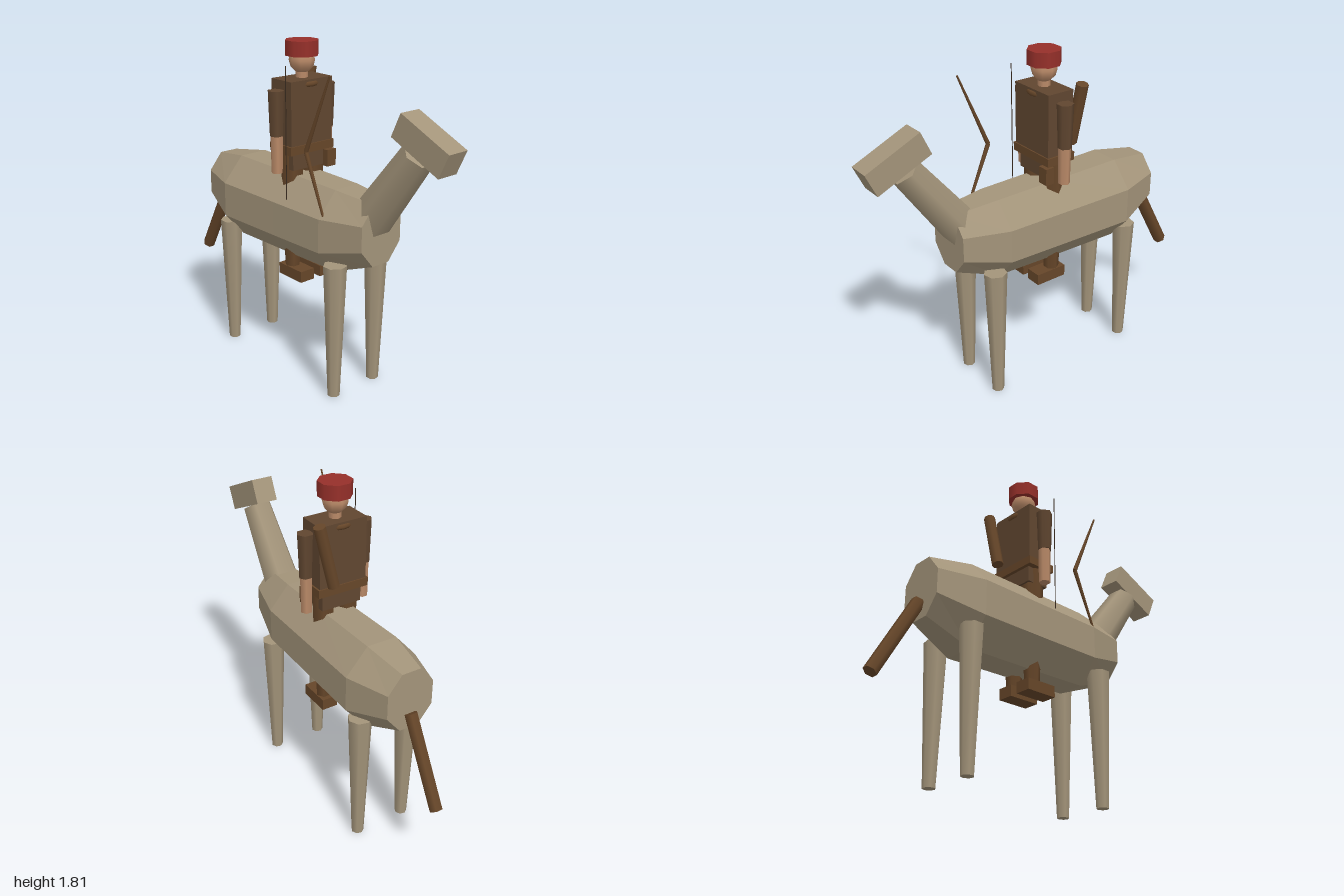
import * as THREE from 'three';

const mat = (name, color, flatShading = false) => {
  const m = new THREE.MeshStandardMaterial({ color, flatShading });
  m.name = name;
  return m;
};

export function createModel() {
  const root = new THREE.Group();
  const hide = mat('tan hide', 0xa3947a);
  const cloth = mat('brown cloth', 0x604630);
  const leather = mat('brown leather', 0x664629);
  const skin = mat('skin', 0xba8a68);
  const red = mat('red felt', 0x96302a);
  const cord = mat('dark cord', 0x3a2c20);
  const V = (x, y, z) => new THREE.Vector3(x, y, z);

  const add = (name, geo, material, parent = root) => {
    const m = new THREE.Mesh(geo, material);
    m.name = name;
    parent.add(m);
    return m;
  };
  const box = (name, size, pos, material, parent) => {
    const m = add(name, new THREE.BoxGeometry(...size), material, parent);
    m.position.set(...pos);
    return m;
  };
  // Tapered rod from a (radius ra) to b (radius rb); corner lies on the x axis
  const rod = (name, a, b, ra, rb, sides, material, parent) => {
    const g = new THREE.CylinderGeometry(rb, ra, a.distanceTo(b), sides, 1, false, Math.PI / 2);
    const m = add(name, g, material, parent);
    m.position.copy(a).add(b).multiplyScalar(0.5);
    m.quaternion.setFromUnitVectors(V(0, 1, 0), b.clone().sub(a).normalize());
    return m;
  };

  // Horse body: octagonal rings [z, centre y, half width, half height]
  const rings = [
    [-0.72, 0.921, 0.132, 0.161], [-0.476, 0.887, 0.206, 0.233], [-0.05, 0.888, 0.198, 0.227],
    [0.3, 0.89, 0.192, 0.22], [0.55, 0.93, 0.133, 0.162],
  ];
  const k = 0.41;
  const octagon = [[1, -k], [1, k], [k, 1], [-k, 1], [-1, k], [-1, -k], [-k, -1], [k, -1]];
  const pos = [], idx = [];
  for (const [z, cy, w, h] of rings) for (const [x, y] of octagon) pos.push(x * w, cy + y * h, z);
  for (let r = 0; r < rings.length - 1; r++) {
    for (let i = 0; i < 8; i++) {
      const a = r * 8 + i, b = r * 8 + (i + 1) % 8;
      idx.push(a, b, b + 8, a, b + 8, a + 8);
    }
  }
  const last = (rings.length - 1) * 8;
  for (let i = 1; i < 7; i++) {
    idx.push(0, i + 1, i);
    idx.push(last, last + i, last + i + 1);
  }
  const body = new THREE.BufferGeometry();
  body.setAttribute('position', new THREE.Float32BufferAttribute(pos, 3));
  body.setIndex(idx);
  const bodyFlat = body.toNonIndexed();
  bodyFlat.computeVertexNormals();
  add('horseBody', bodyFlat, hide);

  // Horse neck, head, legs and tail
  rod('horseNeck', V(0, 0.97, 0.465), V(0, 1.385, 0.775), 0.109, 0.084, 6, hide);
  box('horseHead', [0.122, 0.134, 0.323], [0, 1.446, 0.826], hide).rotation.x = 0.426;
  for (const s of [-1, 1]) {
    for (const [name, z] of [['frontLeg', 0.372], ['hindLeg', -0.51]]) {
      rod(name, V(s * 0.143, 0, z), V(s * 0.143, 0.745, z), 0.033, 0.062, 7, hide);
    }
  }
  rod('tail', V(0, 0.42, -0.967), V(0, 0.85, -0.73), 0.036, 0.036, 6, leather);

  // Rider, seated at the middle of the back
  const rider = new THREE.Group();
  rider.name = 'rider';
  rider.position.z = -0.05;
  root.add(rider);
  box('torso', [0.273, 0.36, 0.156], [0, 1.437, 0], cloth, rider);
  box('belt', [0.293, 0.045, 0.17], [0, 1.26, 0], leather, rider);
  box('hips', [0.23, 0.1, 0.13], [0, 1.2, 0], cloth, rider);
  box('pouch', [0.06, 0.09, 0.05], [0.12, 1.186, 0.075], leather, rider);
  const collar = add('collar', new THREE.TorusGeometry(0.076, 0.015, 6, 16), leather, rider);
  collar.rotation.x = Math.PI / 2;
  collar.position.y = 1.593;

  rod('neck', V(0, 1.58, 0), V(0, 1.67, 0), 0.032, 0.032, 8, skin, rider);
  const head = add('head', new THREE.SphereGeometry(0.068, 8, 6), skin, rider);
  head.position.y = 1.706;
  const cap = add('cap', new THREE.CylinderGeometry(0.089, 0.089, 0.078, 8), red, rider);
  cap.position.y = 1.769;
  cap.rotation.y = Math.PI / 8;

  for (const s of [-1, 1]) {
    rod('sleeve', V(s * 0.172, 1.335, 0), V(s * 0.172, 1.57, 0), 0.036, 0.044, 6, cloth, rider);
    rod('forearm', V(s * 0.17, 1.138, 0), V(s * 0.17, 1.345, 0), 0.031, 0.034, 6, skin, rider);
    rod('riderThigh', V(s * 0.07, 0.9, 0), V(s * 0.07, 1.24, 0), 0.055, 0.064, 6, leather, rider);
    rod('riderShin', V(s * 0.07, 0.58, 0), V(s * 0.07, 0.9, 0), 0.04, 0.055, 6, leather, rider);
    box('boot', [0.09, 0.062, 0.183], [s * 0.067, 0.565, 0.03], leather, rider);
  }

  // Quiver slung across the back
  rod('quiver', V(0.08, 1.307, -0.116), V(0.161, 1.643, -0.116), 0.032, 0.032, 8, leather, rider);

  // Bow on the right side, with its string
  const bow = new THREE.Group();
  bow.name = 'bow';
  bow.position.x = -0.171;
  root.add(bow);
  for (const s of [-1, 1]) {
    rod('bowLimb', V(0, 1.3, 0.182), V(0, 1.3 + s * 0.403, 0.353), 0.012, 0.005, 6, leather, bow);
  }
  rod('bowString', V(0, 0.9, 0.027), V(0, 1.703, 0.027), 0.003, 0.003, 4, cord, bow);

  return root;
}
